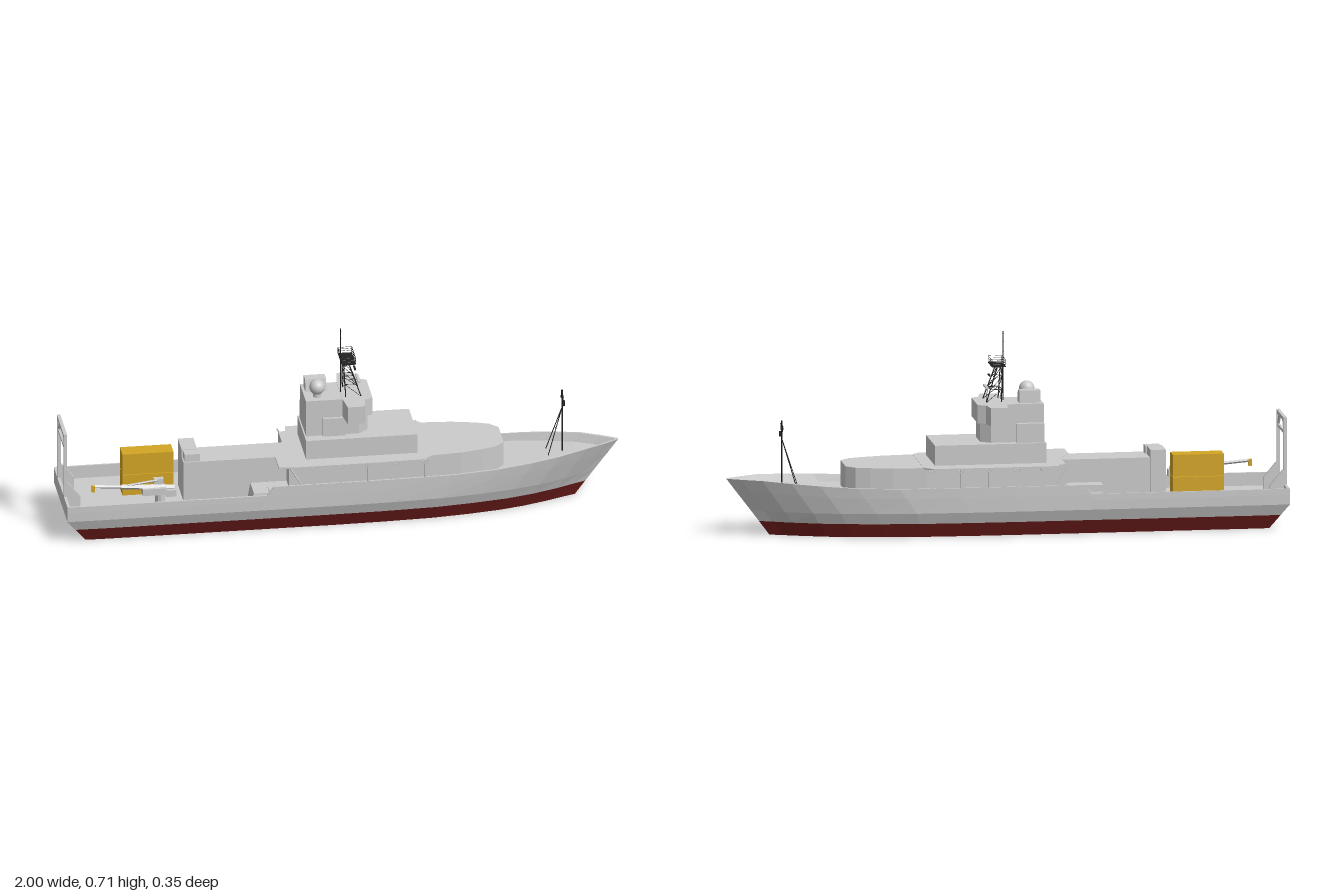
import * as THREE from 'three';

const paint = (color) => new THREE.MeshStandardMaterial({ color, flatShading: true, side: THREE.DoubleSide });
const grey = paint(0xcccccc), red = paint(0x6a1c1a), gold = paint(0xd4a626), black = paint(0x222222);
const V = (p) => new THREE.Vector3(...p);

// Hull rules: bulwark height, deck height and plan fullness along the length
const sheer = (x) => x < -0.27 ? 0.147 : x < 0.5 ? 0.18 : 0.18 + 0.026 * Math.min(1, (x - 0.5) / 0.38);
const deckY = (x) => x < -0.328 ? 0.1 : x < 0.5 ? 0.155 : 0.155 + 0.02 * Math.min(1, (x - 0.5) / 0.4);
const stations = [-1, -0.9, -0.6, -0.335, -0.325, -0.285, -0.26, 0, 0.2, 0.4, 0.55, 0.68, 0.78, 0.88, 0.95, 1];
const fullness = [0.99, 1, 1, 1, 1, 1, 1, 1, 0.985, 0.945, 0.86, 0.75, 0.61, 0.4, 0.2, 0.03];
// Each level: stern x, bow x, half width, fineness of the bow, height rule
const levels = [
  [-0.93, 0.845, 0.138, 1.25, () => 0],
  [-0.969, 0.882, 0.157, 1.2, () => 0.05],
  [-1, 0.912, 0.173, 1.15, () => 0.09],
  [-1, 0.965, 0.174, 1.05, (x) => sheer(x) * 0.6 + 0.036],
  [-1, 1, 0.174, 1, sheer],
  [-0.99, 0.985, 0.167, 1, sheer],
  [-0.99, 0.965, 0.166, 1.05, deckY],
];

function hullPoint(i, k, side) {
  const [x0, x1, w, fine, height] = levels[k];
  const s = stations[i];
  return [x0 + (x1 - x0) * (s + 1) / 2, height(s), side * w * Math.pow(fullness[i], fine)];
}

function hullBand(from, to, plateLevel, faceUp, material) {
  const pos = [], last = stations.length - 1;
  const quad = (a, b, c, d) => pos.push(...a, ...b, ...c, ...a, ...c, ...d);
  const P = hullPoint;
  for (let k = from; k < to; k++) {
    for (let i = 0; i < last; i++) {
      quad(P(i, k, 1), P(i + 1, k, 1), P(i + 1, k + 1, 1), P(i, k + 1, 1));
      quad(P(i + 1, k, -1), P(i, k, -1), P(i, k + 1, -1), P(i + 1, k + 1, -1));
    }
    quad(P(0, k, -1), P(0, k, 1), P(0, k + 1, 1), P(0, k + 1, -1));
    quad(P(last, k, 1), P(last, k, -1), P(last, k + 1, -1), P(last, k + 1, 1));
  }
  for (let i = 0; i < last; i++) {
    const s = faceUp ? 1 : -1, k = plateLevel;
    quad(P(i, k, s), P(i + 1, k, s), P(i + 1, k, -s), P(i, k, -s));
  }
  const geo = new THREE.BufferGeometry();
  geo.setAttribute('position', new THREE.Float32BufferAttribute(pos, 3));
  geo.computeVertexNormals();
  return new THREE.Mesh(geo, material);
}

export function createModel() {
  const ship = new THREE.Group();
  ship.name = 'ship';
  const add = (name, mesh, parent = ship) => { mesh.name = name; parent.add(mesh); return mesh; };
  const group = (name) => add(name, new THREE.Group());

  // Box from its limits
  const box = (name, [x0, x1], [y0, y1], [z0, z1], mat = grey, parent = ship) => {
    const m = new THREE.Mesh(new THREE.BoxGeometry(x1 - x0, y1 - y0, z1 - z0), mat);
    m.position.set((x0 + x1) / 2, (y0 + y1) / 2, (z0 + z1) / 2);
    return add(name, m, parent);
  };
  // Vertical prism from a plan outline of [x, z] points
  const prism = (name, plan, y0, y1, mirrored = true) => {
    const pts = mirrored ? [...plan, ...plan.map(([x, z]) => [x, -z]).reverse()] : plan;
    const shape = new THREE.Shape(pts.map(([x, z]) => new THREE.Vector2(x, -z)));
    const geo = new THREE.ExtrudeGeometry(shape, { depth: y1 - y0, bevelEnabled: false });
    geo.rotateX(-Math.PI / 2).translate(0, y0, 0);
    return add(name, new THREE.Mesh(geo, grey));
  };
  // Round or square bar between two points
  const bar = (name, a, b, r, mat = black, parent = ship, sides = 6) => {
    const p = V(a), q = V(b), d = q.clone().sub(p);
    const m = new THREE.Mesh(new THREE.CylinderGeometry(r, r, d.length(), sides), mat);
    m.position.copy(p).add(q).multiplyScalar(0.5);
    m.quaternion.setFromUnitVectors(new THREE.Vector3(0, 1, 0), d.normalize());
    return add(name, m, parent);
  };

  // Hull
  add('lowerHull', hullBand(0, 1, 0, false, red));
  add('upperHull', hullBand(1, levels.length - 1, levels.length - 1, true, grey));

  // Main deckhouse, its overhanging roof and the side gallery posts
  prism('mainDeckhouse', [[-0.2, 0.135], [0.3, 0.14], [0.42, 0.13], [0.5, 0.112], [0.55, 0.095], [0.58, 0.062]], 0.15, 0.25);
  prism('galleryRoof', [[-0.24, 0.075], [-0.24, 0.166], [-0.17, 0.173], [0.1, 0.173], [0.28, 0.168], [0.31, 0.14],
    [0.31, -0.14], [0.28, -0.168], [0.1, -0.173], [-0.17, -0.173], [-0.19, -0.04]], 0.245, 0.251, false);
  for (const s of [-1, 1]) {
    for (const x of [-0.115, -0.02, 0.08, 0.18, 0.285]) {
      const z = s * (x > 0.1 ? 0.167 : 0.171);
      box('galleryPost', [x - 0.004, x + 0.004], [0.175, 0.247], [z - 0.003, z + 0.003]);
      for (const d of [-1, 1]) bar('postBrace', [x, 0.232, z], [x + d * 0.014, 0.247, z], 0.002, grey);
    }
    bar('galleryBrace', [-0.16, 0.18, s * 0.17], [-0.2, 0.246, s * 0.165], 0.003, grey);
  }

  // Aft deckhouse, lockers and steps
  box('aftDeckhouse', [-0.57, -0.19], [0.1, 0.25], [-0.045, 0.075]);
  box('aftLocker', [-0.57, -0.515], [0.1, 0.28], [-0.064, 0.03]);
  box('aftLockerSide', [-0.565, -0.51], [0.25, 0.278], [0.02, 0.07]);
  box('sideLanding', [-0.33, -0.2], [0.1, 0.178], [-0.166, -0.11]);
  for (let i = 0; i < 5; i++) {
    box('deckStep', [-0.335 + i * 0.015, -0.25], [0.1 + i * 0.012, 0.112 + i * 0.012], [0.118, 0.16]);
  }

  // Second tier
  box('secondTier', [-0.135, 0.265], [0.25, 0.323], [-0.104, 0.112]);

  // Bridge with wings
  prism('bridgeTower', [[-0.13, 0.073], [0.06, 0.073], [0.095, 0.045]], 0.32, 0.46);
  prism('bridgeWings', [[0, 0.07], [0.01, 0.146], [0.07, 0.146], [0.08, 0.09], [0.108, 0.075]], 0.395, 0.461);
  box('bridgeSideRoom', [-0.07, 0.01], [0.32, 0.392], [0.06, 0.084]);
  box('funnelCasing', [-0.13, -0.03], [0.32, 0.392], [-0.093, -0.06]);

  // Tapered funnel beside the radar dome
  const funnelGeo = new THREE.BoxGeometry(0.075, 0.045, 0.05);
  const fp = funnelGeo.attributes.position;
  for (let i = 0; i < fp.count; i++) if (fp.getY(i) > 0) fp.setZ(i, fp.getZ(i) * 0.75 - 0.004);
  add('funnel', new THREE.Mesh(funnelGeo, grey)).position.set(-0.083, 0.482, -0.03);
  const dome = add('radarDome', new THREE.Mesh(new THREE.SphereGeometry(0.028, 20, 14),
    new THREE.MeshStandardMaterial({ color: 0xcccccc })));
  dome.position.set(-0.085, 0.497, 0.035);
  bar('domePedestal', [-0.085, 0.46, 0.035], [-0.085, 0.48, 0.035], 0.014, grey, ship, 12);

  // Lattice main mast: legs lean aft and inward
  const mast = group('mainMast');
  const cz = 0.013;
  const leg = (t, fx, s) => [(fx ? 0.07 - 0.045 * t : 0.015 - 0.005 * t), 0.46 + 0.13 * t, cz + s * (0.043 - 0.022 * t)];
  const rings = [0, 0.35, 0.68, 1];
  for (const s of [-1, 1]) for (const f of [0, 1]) bar('mastLeg', leg(0, f, s), leg(1, f, s), 0.002, black, mast);
  for (let i = 1; i < rings.length; i++) {
    const a = rings[i - 1], b = rings[i];
    for (const f of [0, 1]) {
      bar('mastRung', leg(b, f, -1), leg(b, f, 1), 0.0013, black, mast);
      bar('mastBrace', leg(a, f, i % 2 ? -1 : 1), leg(b, f, i % 2 ? 1 : -1), 0.001, black, mast);
    }
    for (const s of [-1, 1]) {
      bar('mastSideRung', leg(b, 0, s), leg(b, 1, s), 0.0013, black, mast);
      bar('mastSideBrace', leg(a, 1, s), leg(b, 0, s), 0.001, black, mast);
    }
  }
  box('mastPlatform', [0, 0.05], [0.588, 0.591], [-0.036, 0.063], black, mast);
  for (const y of [0.599, 0.606, 0.613]) {
    for (const x of [0, 0.05]) bar('platformRail', [x, y, -0.036], [x, y, 0.063], 0.0007, black, mast);
    for (const z of [-0.036, 0.063]) bar('platformRail', [0, y, z], [0.05, y, z], 0.0007, black, mast);
  }
  for (const x of [0, 0.05]) for (const z of [-0.036, 0.013, 0.063]) {
    bar('railPost', [x, 0.59, z], [x, 0.613, z], 0.0008, black, mast);
  }
  bar('mastPole', [0.003, 0.46, cz], [0.003, 0.71, cz], 0.0018, black, mast);
  for (const y of [0.635, 0.672, 0.7]) bar('antenna', [0.003, y, cz - 0.006], [0.003, y, cz + 0.006], 0.0015, black, mast);
  box('radarScanner', [0.06, 0.07], [0.508, 0.514], [-0.02, 0.046], grey, mast);
  bar('scannerArm', [0.035, 0.508, cz], [0.065, 0.508, cz], 0.002, black, mast);
  box('upperScanner', [0.05, 0.056], [0.55, 0.554], [-0.003, 0.029], black, mast);

  // Foremast on the bow
  const fore = group('foremast');
  bar('foremastPole', [0.8, 0.17, 0], [0.8, 0.41, 0], 0.0022, black, fore);
  bar('foremastYard', [0.8, 0.395, -0.03], [0.8, 0.395, 0.03], 0.0012, black, fore);
  for (const s of [-1, 1]) {
    bar('foremastStay', [0.745, 0.17, s * 0.03], [0.8, 0.345, 0], 0.0016, black, fore);
    bar('yardBrace', [0.8, 0.395, s * 0.03], [0.8, 0.34, 0], 0.001, black, fore);
  }
  bar('stayRung', [0.775, 0.262, -0.014], [0.775, 0.262, 0.014], 0.001, black, fore);
  box('foremastLamp', [0.797, 0.808], [0.352, 0.37], [0.001, 0.014], black, fore);
  box('foremastTopLamp', [0.795, 0.805], [0.378, 0.386], [-0.008, 0], black, fore);

  // Stern gantry
  const gantry = group('sternGantry');
  for (const z of [-0.085, 0.075]) {
    box('gantryLeg', [-1, -0.988], [0.1, 0.39], [z - 0.007, z + 0.007], grey, gantry);
    const foot = new THREE.Shape([[-0.99, 0.1], [-0.94, 0.1], [-0.94, 0.145], [-0.985, 0.2], [-0.99, 0.2]]
      .map((p) => new THREE.Vector2(...p)));
    const geo = new THREE.ExtrudeGeometry(foot, { depth: 0.012, bevelEnabled: false });
    add('gantryFoot', new THREE.Mesh(geo, grey), gantry).position.z = z - 0.006;
    const inward = z < 0 ? 0.04 : -0.04;
    bar('gantryKnee', [-0.994, 0.335, z], [-0.994, 0.38, z + inward], 0.005, grey, gantry, 4);
  }
  box('gantryTopBeam', [-1, -0.988], [0.376, 0.39], [-0.085, 0.075], grey, gantry);
  box('gantryLowerBeam', [-0.998, -0.99], [0.33, 0.34], [-0.085, 0.075], grey, gantry);

  // Two stacked containers on the aft deck
  for (const y of [0.1, 0.181]) box('container', [-0.778, -0.595], [y, y + 0.079], [-0.064, 0], gold);

  // Deck crane, boom pointing aft
  const crane = group('deckCrane');
  bar('craneColumn', [-0.66, 0.1, 0.122], [-0.66, 0.165, 0.122], 0.018, grey, crane, 10);
  box('craneBody', [-0.725, -0.64], [0.16, 0.185], [0.1, 0.142], grey, crane);
  box('craneCab', [-0.68, -0.645], [0.16, 0.205], [0.085, 0.105], grey, crane);
  box('craneWinch', [-0.64, -0.605], [0.15, 0.175], [0.108, 0.14], grey, crane);
  bar('craneBoom', [-0.61, 0.178, 0.122], [-0.8, 0.192, 0.122], 0.01, grey, crane, 4);
  bar('craneBoomTip', [-0.78, 0.19, 0.122], [-0.9, 0.2, 0.122], 0.006, grey, crane, 4);
  bar('craneRam', [-0.67, 0.21, 0.122], [-0.78, 0.196, 0.122], 0.004, grey, crane);
  box('craneHook', [-0.906, -0.894], [0.18, 0.204], [0.116, 0.128], gold, crane);

  return ship;
}
